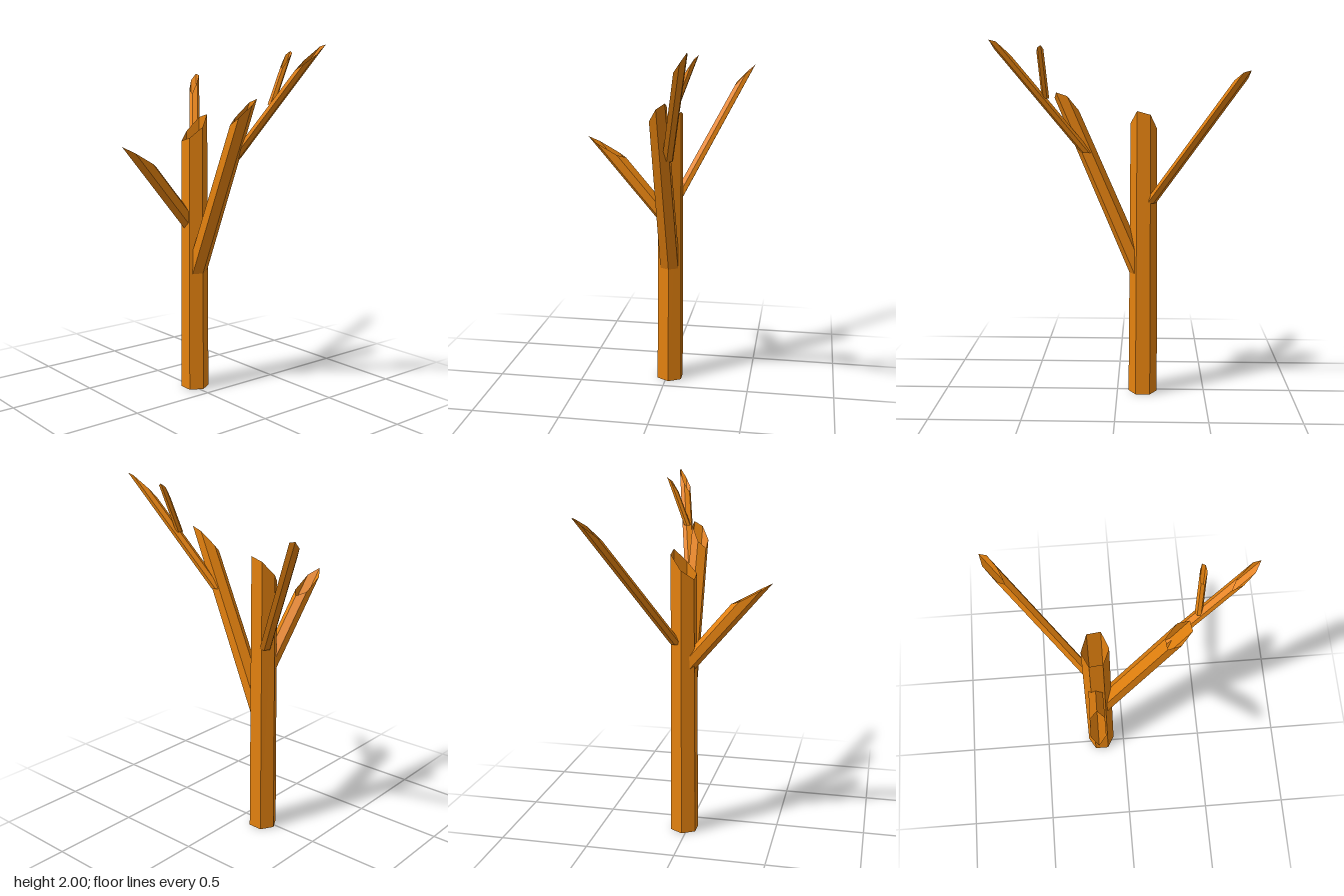
import * as THREE from 'three';

const SIDES = 6;
const bark = new THREE.MeshStandardMaterial({ color: 0xe5820f, flatShading: true, side: THREE.DoubleSide });

// Hollow six-sided limb: a level base ring swept along a lean (x and z per unit of height),
// with the rim broken off at a different height on each corner.
// Corners run from +z towards +x, turned by phase.
function limb(name, { base, rx, rz = rx, lean = [0, 0], taper = 1, phase = 0, rim }) {
  const positions = [];
  const index = [];
  const [cx, cy, cz] = base;
  const corner = (i, y, scale) => {
    const a = phase + (i / SIDES) * Math.PI * 2;
    const h = y - cy;
    positions.push(
      cx + lean[0] * h + Math.sin(a) * rx * scale,
      y,
      cz + lean[1] * h + Math.cos(a) * rz * scale
    );
  };
  for (let i = 0; i < SIDES; i++) {
    corner(i, cy, 1);
    corner(i, rim[i], taper);
  }
  for (let i = 0; i < SIDES; i++) {
    const b = i * 2;
    const n = ((i + 1) % SIDES) * 2;
    index.push(b, n, n + 1, b, n + 1, b + 1);
  }
  const indexed = new THREE.BufferGeometry();
  indexed.setAttribute('position', new THREE.Float32BufferAttribute(positions, 3));
  indexed.setIndex(index);
  const geometry = indexed.toNonIndexed();
  geometry.computeVertexNormals();
  const mesh = new THREE.Mesh(geometry, bark);
  mesh.name = name;
  return mesh;
}

export function createModel() {
  const tree = new THREE.Group();
  tree.name = 'deadTree';
  tree.add(
    // Upright trunk, open at both ends
    limb('trunk', {
      base: [0.02, 0, -0.147], rx: 0.082, taper: 0.9,
      rim: [1.55, 1.62, 1.6, 1.52, 1.47, 1.49],
    }),
    // Thick branch reaching forward
    limb('frontBranch', {
      base: [0.02, 0.7, -0.13], rx: 0.06, taper: 0.87, lean: [0, 0.43],
      rim: [1.69, 1.72, 1.7, 1.62, 1.58, 1.62],
    }),
    // Long thin branch to the back left
    limb('backBranch', {
      base: [0.055, 1.11, -0.185], rx: 0.033, taper: 0.95, lean: [0.51, -0.665],
      rim: [1.79, 1.83, 1.84, 1.8, 1.74, 1.72],
    }),
    // Short branch to the right, ending in a point
    limb('rightBranch', {
      base: [0.015, 0.965, -0.16], rx: 0.06, rz: 0.046, lean: [-0.85, 0], phase: Math.PI / 2,
      rim: [1.34, 1.36, 1.425, 1.46, 1.425, 1.36],
    }),
    // Twig growing from the front branch, with a smaller one on it
    limb('frontTwig', {
      base: [0.053, 1.39, 0.17], rx: 0.032, taper: 0.95, lean: [0.24, 0.8],
      rim: [1.95, 2.0, 1.99, 1.92, 1.87, 1.9],
    }),
    limb('smallTwig', {
      base: [0.12, 1.69, 0.387], rx: 0.02, taper: 0.95, lean: [0.39, 0.06],
      rim: [1.94, 1.96, 1.97, 1.95, 1.89, 1.88],
    })
  );
  return tree;
}
